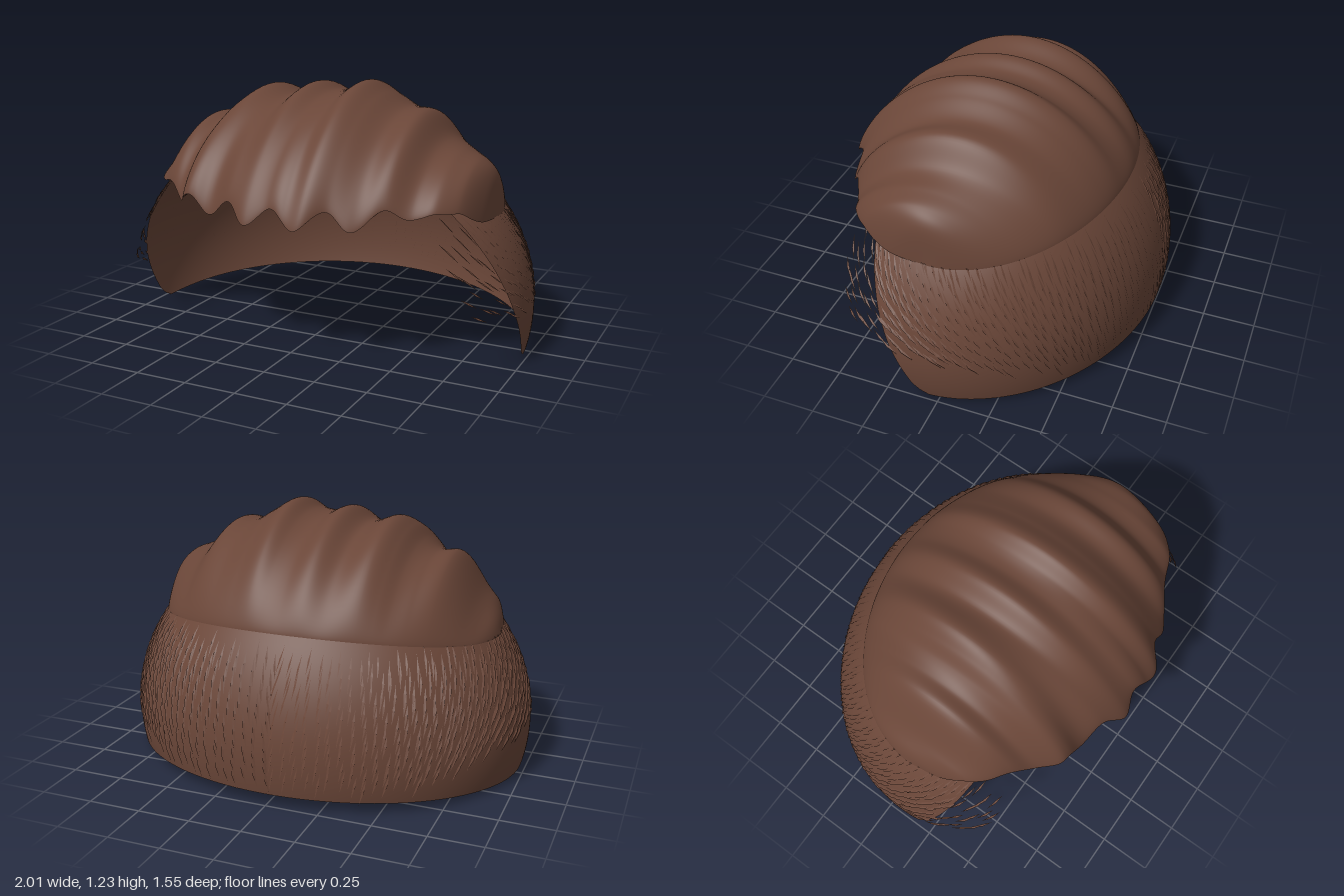
import * as THREE from 'three';

const V = (x, y, z) => new THREE.Vector3(x, y, z);
const { lerp, clamp, smoothstep } = THREE.MathUtils;

// Smooth surface from a rule fn(u, v), both 0..1
function surface(nu, nv, fn) {
  const pos = [], idx = [];
  for (let j = 0; j <= nv; j++)
    for (let i = 0; i <= nu; i++) pos.push(...fn(i / nu, j / nv).toArray());
  for (let j = 0; j < nv; j++)
    for (let i = 0; i < nu; i++) {
      const a = j * (nu + 1) + i, c = a + nu + 1;
      idx.push(a, a + 1, c, a + 1, c + 1, c);
    }
  const g = new THREE.BufferGeometry();
  g.setAttribute('position', new THREE.Float32BufferAttribute(pos, 3));
  g.setIndex(idx);
  g.computeVertexNormals();
  return g;
}

// Head ellipsoid: angle 0 is the back, positive turns toward +x
const ringSize = (y) => Math.sqrt(Math.max(0, 1 - ((y - 0.2) / 0.88) ** 2));
const onHead = (a, y, s = 1) => {
  const r = ringSize(y) * s;
  return V(Math.sin(a) * r, y, 0.08 - 0.85 * Math.cos(a) * r);
};
const headHeight = (x, z) =>
  0.2 + 0.88 * Math.sqrt(Math.max(0, 1 - x * x - ((z - 0.08) / 0.85) ** 2));
const angleAtZ = (z, y) => Math.PI / 2 + Math.asin(clamp((z - 0.08) / (0.85 * ringSize(y)), -1, 1));

// Front edge of the side hair, as z for a height y
const edgePoints = [[0.01, 0.06], [0.02, 0.09], [0.06, 0.13], [0.17, 0.19], [0.28, 0.245], [0.42, 0.3], [0.58, 0.35], [0.78, 0.395]];
function edgeZ(y) {
  let k = 0;
  while (k < edgePoints.length - 2 && y > edgePoints[k + 1][0]) k++;
  const [y0, z0] = edgePoints[k], [y1, z1] = edgePoints[k + 1];
  return lerp(z0, z1, clamp((y - y0) / (y1 - y0), 0, 1));
}

// Back and side hair, with a bottom hem that rises toward the back
function shellPoint(u, v) {
  const side = 1 - 2 * u;
  const hem = 0.003 + 0.064 * Math.max(0, Math.cos(side * Math.PI / 2)) ** 1.3;
  const y = lerp(hem, 0.77, v ** 1.4);
  return onHead(side * angleAtZ(edgeZ(y), y), y);
}

// Ridged crown: x, ridge height and fringe reach
const crownCurve = new THREE.CatmullRomCurve3([
  [-0.85, 0.665, 0.08], [-0.82, 0.74, 0.25], [-0.75, 0.83, 0.39], [-0.62, 1.03, 0.5],
  [-0.53, 1.035, 0.57], [-0.46, 1.075, 0.65], [-0.4, 1.14, 0.665], [-0.33, 1.185, 0.675],
  [-0.19, 1.145, 0.705], [-0.08, 1.21, 0.77], [0.02, 1.175, 0.735], [0.1, 1.185, 0.755],
  [0.18, 1.23, 0.765], [0.28, 1.18, 0.685], [0.38, 1.12, 0.68], [0.5, 1.11, 0.595],
  [0.6, 0.995, 0.545], [0.7, 0.95, 0.5], [0.78, 0.915, 0.42], [0.83, 0.85, 0.29], [0.85, 0.665, 0.08],
].map((p) => V(...p)));

function crownSection(u) {
  const { x, y: top, z: zFront } = crownCurve.getPoint(u);
  const ax = Math.abs(x);
  const zBack = 0.08 - 0.66 * Math.sqrt(Math.max(0, 1 - (ax / 0.85) ** 2));
  const yBack = headHeight(x, zBack);
  // Scalloped fringe: one point below each ridge, lifted and calm at the temples
  const wave = 0.039 * (1 - 0.6 * smoothstep(ax, 0.5, 0.65)) * (1 - smoothstep(ax, 0.65, 0.75));
  const lift = lerp(0.71, 0.74, smoothstep(ax, 0.4, 0.65));
  const yFront = lerp(lift, 0.664, smoothstep(ax, 0.77, 0.85))
    - wave * Math.cos((x - 0.155) * 2 * Math.PI / 0.232);
  return { x, top, zFront, zBack, yBack, yFront };
}
function crownPoint(u, v) {
  const s = crownSection(u), t = v * Math.PI;
  const rise = Math.pow(Math.max(0, Math.sin(t)), 1.5);
  const f = (1 + Math.cos(t)) / 2;
  const base = lerp(s.yBack, s.yFront, f);
  const mid = (s.yBack + s.yFront) / 2;
  return V(s.x, base + Math.max(0, s.top - mid) * rise, lerp(s.zBack, s.zFront, f));
}
// Smooth lining that follows the head under the crown and ends in the fringe lip
function liningPoint(u, v) {
  const s = crownSection(u), t = v * Math.PI;
  const f = (1 - Math.cos(t)) / 2;
  const z = lerp(s.zBack, s.zFront, f);
  const dome = Math.max(headHeight(s.x, z) - 0.012, lerp(s.yBack - 0.012, s.yFront, f));
  // Stay below the crown where the ridges run low
  const rise = Math.pow(Math.max(0, Math.sin(t)), 1.5);
  const crown = lerp(s.yBack, s.yFront, f) + Math.max(0, s.top - (s.yBack + s.yFront) / 2) * rise;
  return V(s.x, lerp(Math.min(dome, crown - 0.004), s.yFront, smoothstep(v, 0.92, 1)), z);
}

// Fine strands: tapered slivers tilted out of the head, the foremost ones free of the shell
function strandGeometry() {
  const pos = [];
  let seed = 7;
  const rand = () => (seed = (seed * 16807) % 2147483647) / 2147483647;
  for (let row = 0; row < 11; row++)
    for (let col = -44; col <= 44; col++) {
      const side = Math.sign(col) || 1;
      const a = Math.abs(col) * 0.052 + (rand() - 0.5) * 0.02;
      const y = 0.18 + row * 0.056 + (col % 3) * 0.018 + (rand() - 0.5) * 0.02;
      const reach = 0.55 - 1.0 * (y - 0.45) ** 2;
      const loose = a > angleAtZ(edgeZ(y), y);
      if (y > 0.73 || a > angleAtZ(reach, y)) continue;
      if (y < lerp(0.18, 0.27, smoothstep(a, 0.6, 1.4))) continue;
      if (loose && (row + col) % 2) continue;
      // Upright at the back, swept at the front and lower down
      const front = smoothstep(a, 0.3, 2);
      const tilt = lerp(0.2, lerp(1.25, 0.7, clamp((y - 0.25) / 0.45, 0, 1)), front);
      const len = 0.1 + rand() * 0.04, w = 0.005;
      const da = Math.sin(tilt), dy = Math.cos(tilt);
      const at = (l, k, s) =>
        onHead(side * (a - da * l + dy * k), y - dy * l - da * k, s).toArray();
      const start = at(0, 0, 1.0), end = at(len, 0, 1.003);
      const p = at(len * 0.45, w, 1.007), q = at(len * 0.45, -w, 1.0);
      if (side > 0) pos.push(...start, ...q, ...p, ...p, ...q, ...end);
      else pos.push(...start, ...p, ...q, ...q, ...p, ...end);
    }
  const g = new THREE.BufferGeometry();
  g.setAttribute('position', new THREE.Float32BufferAttribute(pos, 3));
  g.computeVertexNormals();
  return g;
}

export function createModel() {
  const group = new THREE.Group();
  group.name = 'hair';
  const brown = new THREE.MeshStandardMaterial({ color: 0x6a4638, side: THREE.DoubleSide });
  brown.name = 'brown hair';
  const add = (name, geometry) => {
    const mesh = new THREE.Mesh(geometry, brown);
    mesh.name = name;
    group.add(mesh);
  };
  add('backAndSideHair', surface(96, 36, shellPoint));
  add('ridgedCrown', surface(220, 48, crownPoint));
  add('crownLining', surface(220, 40, liningPoint));
  add('fineStrands', strandGeometry());
  return group;
}
